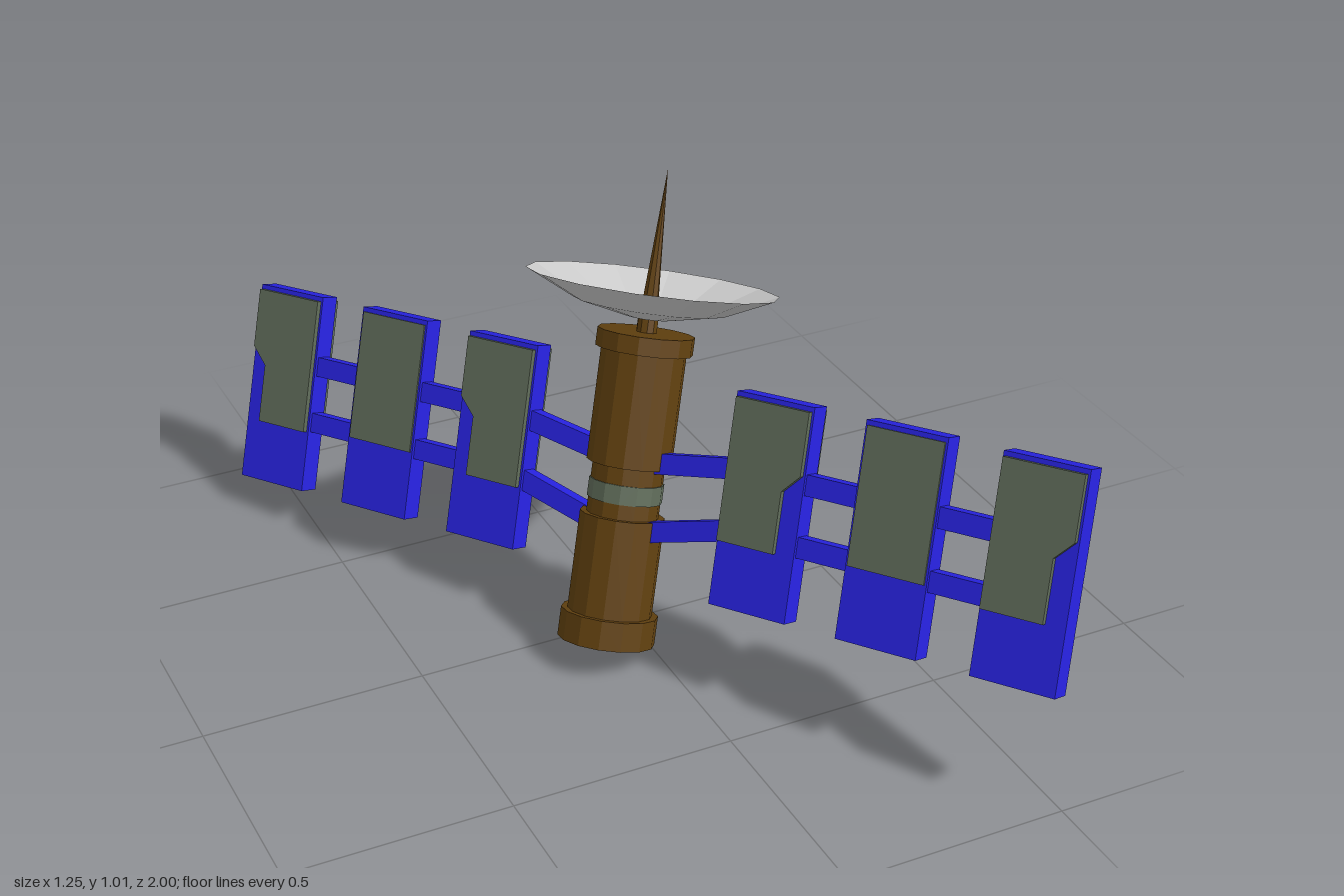
import * as THREE from 'three';

const SIDES = 14;
const mat = (color, extra = {}) => new THREE.MeshStandardMaterial({ color, flatShading: true, ...extra });
const brown = mat(0x60400f);
const blue = mat(0x2722e0);
const cellGrey = mat(0x5f6b59);
const dishGrey = mat(0xcccccc, { side: THREE.DoubleSide });

function add(parent, name, geometry, material, x = 0, y = 0, z = 0) {
  const mesh = new THREE.Mesh(geometry, material);
  mesh.name = name;
  mesh.position.set(x, y, z);
  parent.add(mesh);
  return mesh;
}

const lathe = (points) =>
  new THREE.LatheGeometry(points.map(([r, y]) => new THREE.Vector2(r, y)), SIDES);

// Straight bar between two points in the wing plane
function strut(parent, name, x0, y0, x1, y1) {
  const length = Math.hypot(x1 - x0, y1 - y0);
  const bar = add(parent, name, new THREE.BoxGeometry(length, 0.045, 0.035), blue, (x0 + x1) / 2, (y0 + y1) / 2);
  bar.rotation.z = Math.atan2(y1 - y0, x1 - x0);
}

// Solar cell outline; the notched kind is cut away on its outer lower corner
function cellGeometry(notched, side, depth) {
  const points = notched
    ? [[-0.09, 0.222], [0.09, 0.222], [0.09, 0.085], [0.05, 0.045], [0.05, -0.09], [-0.09, -0.09]]
    : [[-0.09, 0.222], [0.09, 0.222], [0.09, -0.075], [-0.09, -0.075]];
  const shape = new THREE.Shape(points.map(([x, y]) => new THREE.Vector2(x * side, y)));
  const geometry = new THREE.ExtrudeGeometry(shape, { depth, bevelEnabled: false });
  return geometry.translate(0, 0, -depth / 2);
}

function createWing(side) {
  const wing = new THREE.Group();
  wing.name = side > 0 ? 'leftWing' : 'rightWing';
  [0.357, 0.67, 0.983].forEach((x, i) => {
    add(wing, 'panel', new THREE.BoxGeometry(0.19, 0.465, 0.05), blue, side * x);
    // One slab through the panel shows a raised cell on both faces
    const notched = i !== 1;
    add(wing, 'solarCell', cellGeometry(notched, side, notched ? 0.074 : 0.058), cellGrey, side * x);
  });
  // Rails between panels, and angled arms to the body
  for (const [yBody, yRail] of [[0.03, 0.067], [-0.125, -0.067]]) {
    strut(wing, 'rail', side * 0.28, yRail, side * 0.98, yRail);
    strut(wing, 'arm', side * 0.05, yBody, side * 0.29, yRail);
  }
  return wing;
}

export function createModel() {
  const model = new THREE.Group();
  model.name = 'satellite';

  // Stepped body with collars at both ends and a narrow waist
  add(model, 'body', lathe([
    [0, -0.38], [0.108, -0.38], [0.108, -0.315], [0.094, -0.315], [0.094, -0.095], [0.08, -0.095],
    [0.08, 0.02], [0.094, 0.02], [0.094, 0.27], [0.107, 0.27], [0.107, 0.31], [0, 0.31],
  ]), brown);
  add(model, 'waistBand', new THREE.CylinderGeometry(0.083, 0.083, 0.042, SIDES), cellGrey, 0, -0.04);

  // Dish on a short neck with a spike antenna
  add(model, 'neck', new THREE.CylinderGeometry(0.023, 0.023, 0.06, 10), brown, 0, 0.325);
  add(model, 'dish', lathe([[0, 0.342], [0.05, 0.342], [0.17, 0.369], [0.278, 0.42]]), dishGrey);
  add(model, 'antenna', new THREE.ConeGeometry(0.02, 0.324, 8), brown, 0, 0.504);

  model.add(createWing(1), createWing(-1));

  // Tilt the whole craft: x along the wings, y along the body
  const up = new THREE.Vector3(0.272, 0.923, -0.268).normalize();
  const normal = new THREE.Vector3(0.499, 0.107, 0.86).cross(up).normalize();
  const along = up.clone().cross(normal);
  model.quaternion.setFromRotationMatrix(new THREE.Matrix4().makeBasis(along, up, normal));
  model.position.y = 0.395;

  const root = new THREE.Group();
  root.name = 'model';
  root.add(model);
  return root;
}
